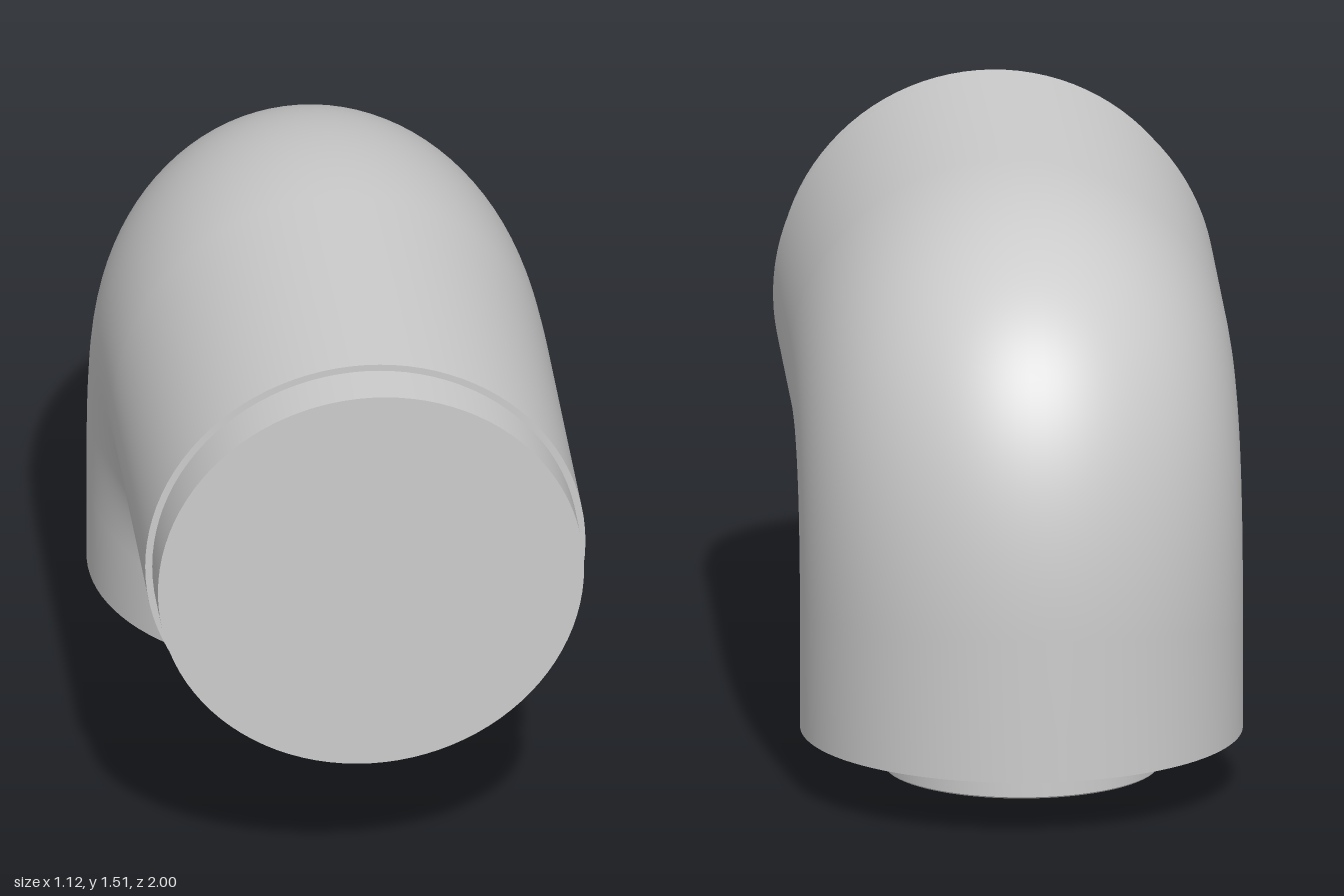
import * as THREE from 'three';
import { toCreasedNormals } from 'three/addons/utils/BufferGeometryUtils.js';

const R = 0.5625;        // pipe radius
const PIPE_Y = 0.948;    // height of the horizontal axis
const POST_Z = -0.4375;  // depth of the vertical axis

const material = new THREE.MeshStandardMaterial({ color: 0xcccccc });

function add(group, name, geometry) {
  const mesh = new THREE.Mesh(geometry, material);
  mesh.name = name;
  group.add(mesh);
}

// Quarter bend in the side plane (z, y), from horizontal to vertical; k sets its fullness
function bend(z0, y0, z1, y1, k) {
  return new THREE.CubicBezierCurve(
    new THREE.Vector2(z0, y0),
    new THREE.Vector2(z0 + (z1 - z0) * k, y0),
    new THREE.Vector2(z1, y1 + (y0 - y1) * k),
    new THREE.Vector2(z1, y1));
}

// Elliptical sections of constant width, strung between an outer and an inner rail
function elbowGeometry() {
  const outer = bend(0.05, PIPE_Y + R, POST_Z - R, 0.52, 0.71);
  const inner = bend(0.24, PIPE_Y - R, POST_Z + R, 0.3, 0.58);
  const rails = [];
  for (const z of [0.87, 0.3]) {
    rails.push([new THREE.Vector2(z, PIPE_Y + R), new THREE.Vector2(z, PIPE_Y - R)]);
  }
  const steps = 48;
  for (let i = 0; i <= steps; i++) rails.push([outer.getPoint(i / steps), inner.getPoint(i / steps)]);
  for (const y of [0.26, 0.15]) {
    rails.push([new THREE.Vector2(POST_Z - R, y), new THREE.Vector2(POST_Z + R, y)]);
  }

  const sides = 96, positions = [], indices = [];
  rails.forEach(([o, n], i) => {
    for (let j = 0; j < sides; j++) {
      const a = (j / sides) * Math.PI * 2, c = Math.cos(a) / 2;
      positions.push(R * Math.sin(a), (o.y + n.y) / 2 + (o.y - n.y) * c, (o.x + n.x) / 2 + (o.x - n.x) * c);
      if (i === rails.length - 1) continue;
      const p = i * sides + j, q = i * sides + (j + 1) % sides;
      indices.push(p, q, p + sides, q, q + sides, p + sides);
    }
  });
  const geometry = new THREE.BufferGeometry();
  geometry.setAttribute('position', new THREE.Float32BufferAttribute(positions, 3));
  geometry.setIndex(indices);
  geometry.computeVertexNormals();
  return geometry;
}

// Flat round plate with holes [x, y, radius] and a fine edge bevel, standing from y0 to y1
function plateGeometry(radius, y0, y1, holes) {
  const b = 0.004;
  const shape = new THREE.Shape().absarc(0, 0, radius, 0, Math.PI * 2);
  for (const [x, y, r] of holes) {
    shape.holes.push(new THREE.Path().absarc(x, y, r, 0, Math.PI * 2, true));
  }
  const geometry = new THREE.ExtrudeGeometry(shape, {
    depth: y1 - y0 - 2 * b, bevelThickness: b, bevelSize: b, bevelOffset: -b,
    bevelSegments: 1, curveSegments: 64,
  });
  geometry.rotateX(-Math.PI / 2).translate(0, y0 + b, POST_Z);
  return toCreasedNormals(geometry, 0.5);
}

export function createModel() {
  const group = new THREE.Group();
  group.name = 'pipeElbow';

  // Bent pipe body and its flat ends
  add(group, 'elbowBody', elbowGeometry());
  add(group, 'frontShoulder', new THREE.CircleGeometry(R, 96).translate(0, PIPE_Y, 0.87));
  add(group, 'bottomFace', new THREE.CircleGeometry(R, 96).rotateX(Math.PI / 2).translate(0, 0.15, POST_Z));

  // Slightly narrower spigot at the front
  add(group, 'frontSpigot',
    new THREE.CylinderGeometry(0.5445, 0.5445, 0.13, 96).rotateX(Math.PI / 2).translate(0, PIPE_Y, 0.935));

  // Bolt flange with a ring of eight holes around the boss
  const bolts = Array.from({ length: 8 }, (_, i) => {
    const a = (i * Math.PI) / 4;
    return [0.215 * Math.cos(a), 0.215 * Math.sin(a), 0.042];
  });
  add(group, 'boltFlange', plateGeometry(0.3525, 0.052, 0.152, [[0, 0, 0.13], ...bolts]));

  // Hollow centre boss running up through the flange
  add(group, 'centreBoss', plateGeometry(0.142, 0, 0.15, [[0, 0, 0.095]]));

  return group;
}
